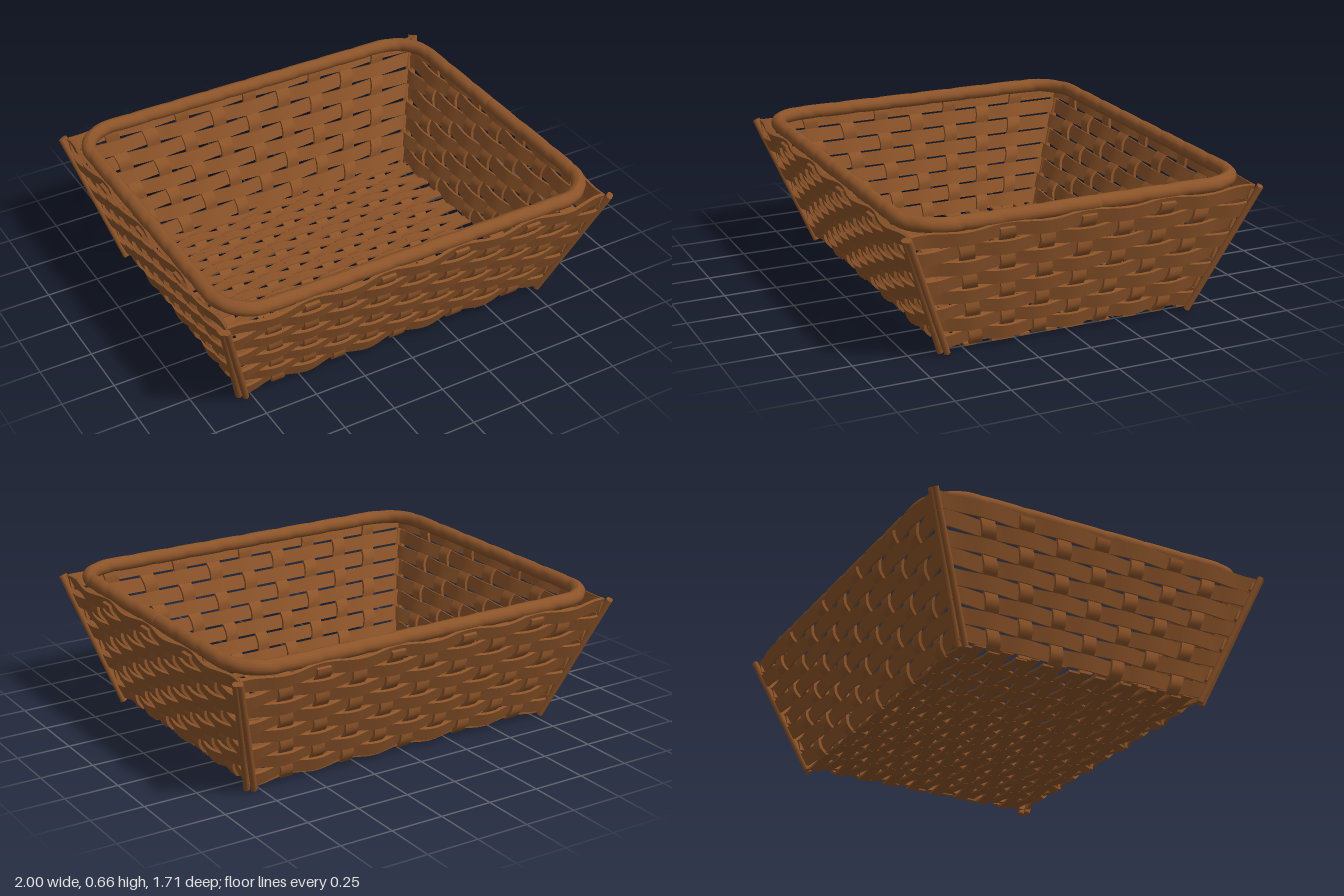
import * as THREE from 'three';
import { toCreasedNormals, mergeGeometries } from 'three/addons/utils/BufferGeometryUtils.js';

const V = (x, y, z) => new THREE.Vector3(x, y, z);
const TOP = 0.6, ROWS = 8, PITCH = 0.073, FIRST_ROW = 0.065;

// Flat cane strip swept through sections { p: centre, w: half width, n: half thickness }
function strip(sections) {
  const pos = [], idx = [];
  const last = sections.length - 1;
  const t = sections[last].p.clone().sub(sections[0].p);
  const s = t.dot(sections[0].w.clone().cross(sections[0].n)) > 0 ? 1 : -1;
  for (const { p, w, n } of sections) {
    for (const [a, b] of [[1, 1], [-1, 1], [-1, -1], [1, -1]]) {
      const c = p.clone().addScaledVector(w, a * s).addScaledVector(n, b);
      pos.push(c.x, c.y, c.z);
    }
  }
  for (let i = 0; i < last; i++) {
    for (let k = 0; k < 4; k++) {
      const a = i * 4 + k, b = i * 4 + (k + 1) % 4;
      idx.push(a, b, b + 4, a, b + 4, a + 4);
    }
  }
  const e = last * 4;
  idx.push(0, 2, 1, 0, 3, 2, e, e + 1, e + 2, e, e + 2, e + 3);
  const geo = new THREE.BufferGeometry();
  geo.setAttribute('position', new THREE.Float32BufferAttribute(pos, 3));
  geo.setIndex(idx);
  return toCreasedNormals(geo, 0.7);
}

// Sample a function of 0..1 into a strip
function sweep(steps, fn) {
  return strip(Array.from({ length: steps + 1 }, (_, i) => fn(i / steps)));
}

// One leaning woven wall facing +z
function wallGeometries({ half, depth, spacing, stakes, phase }) {
  const lerp = (r, y) => r[0] + (r[1] - r[0]) * y / TOP;
  const up = V(0, TOP, depth[1] - depth[0]).normalize();
  const out = V(0, -up.z, up.y);
  const at = (u, y, d) => V(u, y, lerp(depth, y)).addScaledVector(out, d);
  const bands = [], uprights = [];
  for (let j = 0; j < ROWS; j++) {
    const y = FIRST_ROW + j * PITCH;
    const h = lerp(half, y), sign = phase * (j % 2 ? 1 : -1);
    bands.push(sweep(80, (t) => {
      const u = (t * 2 - 1) * h;
      const d = sign * 0.013 * Math.cos(Math.PI * u / lerp(spacing, y));
      return { p: at(u, y, d), w: up.clone().multiplyScalar(0.034), n: out.clone().multiplyScalar(0.007) };
    }));
  }
  for (let k = -stakes; k <= stakes; k++) {
    const sign = phase * (k % 2 ? -1 : 1);
    uprights.push(sweep(48, (t) => {
      const y = 0.02 + t * (TOP - 0.025);
      const d = sign * 0.011 * Math.cos(Math.PI * (y - FIRST_ROW) / PITCH);
      return { p: at(k * lerp(spacing, y), y, d), w: V(0.03 + 0.005 * t, 0, 0), n: out.clone().multiplyScalar(0.007) };
    }));
  }
  return { bands: mergeGeometries(bands), uprights: mergeGeometries(uprights) };
}

// Woven floor: slats along x, crossing stakes along z
function floorGeometries() {
  const slats = [], cross = [], y0 = 0.026, pitch = 0.0655, shift = 0.016, gap = 0.152;
  for (let j = -9; j <= 8; j++) {
    slats.push(sweep(80, (t) => {
      const x = (t * 2 - 1) * 0.785;
      const d = (j % 2 ? 1 : -1) * -0.009 * Math.cos(Math.PI * x / gap);
      return { p: V(x, y0 - d, j * pitch + shift), w: V(0, 0, 0.0265), n: V(0, 0.005, 0) };
    }));
  }
  for (let k = -4; k <= 4; k++) {
    cross.push(sweep(100, (t) => {
      const z = (t * 2 - 1) * 0.59;
      const d = (k % 2 ? 1 : -1) * 0.009 * Math.cos(Math.PI * (z - shift) / pitch);
      return { p: V(k * gap, y0 + d, z), w: V(0.031, 0, 0), n: V(0, 0.005, 0) };
    }));
  }
  return { slats: mergeGeometries(slats), cross: mergeGeometries(cross) };
}

// Rounded-rectangle rim with shallow spiral wrapping
function rimGeometry() {
  const X = 0.925, Z = 0.79, R = 0.18, outline = new THREE.Shape();
  outline.moveTo(X, 0);
  outline.absarc(X - R, Z - R, R, 0, Math.PI / 2);
  outline.absarc(R - X, Z - R, R, Math.PI / 2, Math.PI);
  outline.absarc(R - X, R - Z, R, Math.PI, Math.PI * 1.5);
  outline.absarc(X - R, R - Z, R, Math.PI * 1.5, Math.PI * 2);
  outline.lineTo(X, 0);
  const pts = outline.getSpacedPoints(120).slice(0, -1).map((p) => V(p.x, 0.628, p.y));
  const path = new THREE.CatmullRomCurve3(pts, true);
  const around = 16, along = 320, radius = 0.034;
  const geo = new THREE.TubeGeometry(path, along, radius, around, true);
  const pos = geo.attributes.position, v = V(0, 0, 0);
  for (let i = 0; i <= along; i++) {
    const c = path.getPointAt((i % along) / along);
    for (let k = 0; k <= around; k++) {
      const id = i * (around + 1) + k;
      const turn = (i % along) / along * 32 + (k % around) / around;
      const wrap = 1 - 0.08 * Math.pow(Math.abs(Math.cos(Math.PI * turn)), 12);
      v.fromBufferAttribute(pos, id).sub(c).multiplyScalar(wrap).add(c);
      pos.setXYZ(id, v.x, v.y, v.z);
    }
  }
  geo.computeVertexNormals();
  return geo;
}

// Round post between two points
function postGeometry(a, b, r) {
  const d = b.clone().sub(a);
  const geo = new THREE.CylinderGeometry(r, r, d.length(), 10);
  geo.applyQuaternion(new THREE.Quaternion().setFromUnitVectors(V(0, 1, 0), d.normalize()));
  const m = a.clone().add(b).multiplyScalar(0.5);
  return geo.translate(m.x, m.y, m.z);
}

export function createModel() {
  const model = new THREE.Group();
  model.name = 'wovenBasket';
  const wicker = new THREE.MeshStandardMaterial({ color: 0x8b5329 });
  wicker.name = 'wicker brown';
  const add = (parent, name, geo) => {
    const mesh = new THREE.Mesh(geo, wicker);
    mesh.name = name;
    parent.add(mesh);
  };

  // Four walls, opposite ones sharing geometry
  const long = wallGeometries({ half: [0.785, 0.965], depth: [0.588, 0.828], spacing: [0.152, 0.188], stakes: 4, phase: 1 });
  const short = wallGeometries({ half: [0.595, 0.83], depth: [0.778, 0.962], spacing: [0.148, 0.192], stakes: 3, phase: -1 });
  ['frontWall', 'leftWall', 'backWall', 'rightWall'].forEach((name, i) => {
    const wall = new THREE.Group();
    wall.name = name;
    wall.rotation.y = i * Math.PI / 2;
    const parts = i % 2 ? short : long;
    add(wall, 'wovenBands', parts.bands);
    add(wall, 'uprightStakes', parts.uprights);
    model.add(wall);
  });

  // Floor
  const floor = floorGeometries();
  add(model, 'floorSlats', floor.slats);
  add(model, 'floorStakes', floor.cross);

  // Paired corner posts
  for (const sx of [1, -1]) {
    for (const sz of [1, -1]) {
      add(model, 'cornerPost', postGeometry(V(sx * 0.804, 0.006, sz * 0.59), V(sx * 0.985, 0.607, sz * 0.832), 0.015));
      add(model, 'cornerPost', postGeometry(V(sx * 0.78, 0.006, sz * 0.612), V(sx * 0.97, 0.607, sz * 0.843), 0.015));
    }
  }

  // Wrapped rim
  add(model, 'rim', rimGeometry());
  return model;
}
